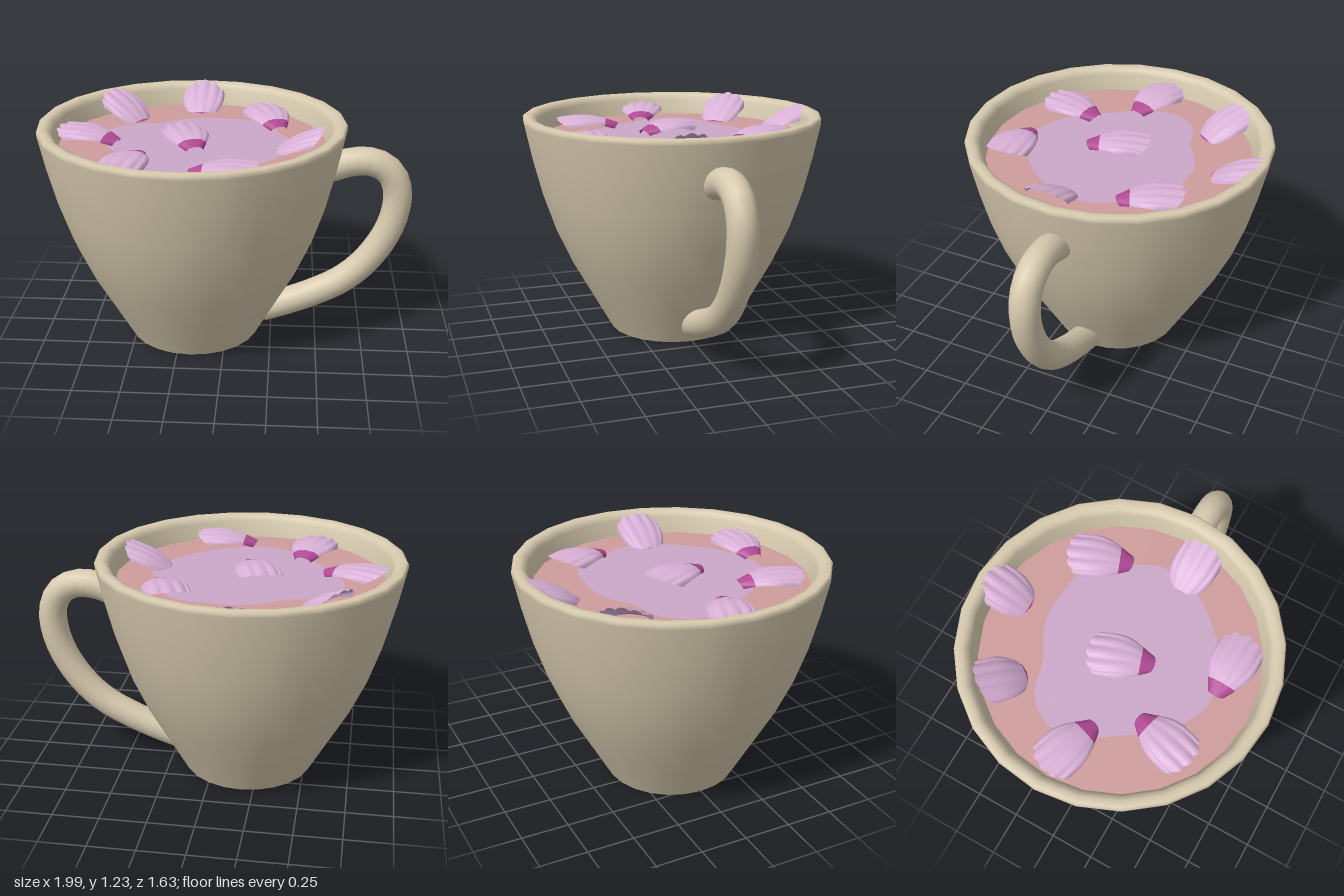
import * as THREE from 'three';

const CUP_X = -0.18;
const LIQUID_Y = 1.09;

const material = (name, color, side = THREE.FrontSide) => {
  const m = new THREE.MeshStandardMaterial({ color, side });
  m.name = name;
  return m;
};

const add = (parent, name, geometry, mat) => {
  const mesh = new THREE.Mesh(geometry, mat);
  mesh.name = name;
  parent.add(mesh);
  return mesh;
};

// Fan-shaped petal: tip at the origin, wide scalloped end towards +z
function petalGeometry() {
  const cols = 30, rows = 14, tipRows = 3, lobes = 5;
  const positions = [], index = [];
  for (let j = 0; j <= rows; j++) {
    const v = j / rows;
    const half = 0.045 + 0.075 * Math.sin(Math.min(v / 0.8, 1) * Math.PI / 2);
    for (let i = 0; i <= cols; i++) {
      const u = (i / cols) * 2 - 1;
      const ridge = Math.abs(Math.cos((u * lobes * Math.PI) / 2 + 0)) ;
      const length = 0.335 - 0.075 * u * u + 0.014 * ridge * v;
      const start = 0.02 * u * u;
      const x = half * Math.sin((u * Math.PI) / 2 * 0.9) / Math.sin(Math.PI * 0.45);
      const y = 0.03 * (1 - u * u) + 0.025 * Math.sin(Math.PI * v) + 0.009 * ridge * v;
      positions.push(x, y, start + (length - start) * v);
    }
  }
  for (let j = 0; j < rows; j++) {
    for (let i = 0; i < cols; i++) {
      const a = j * (cols + 1) + i, b = a + cols + 1;
      index.push(a, b, a + 1, b, b + 1, a + 1);
    }
  }
  const g = new THREE.BufferGeometry();
  g.setAttribute('position', new THREE.Float32BufferAttribute(positions, 3));
  g.setIndex(index);
  g.addGroup(0, tipRows * cols * 6, 0);
  g.addGroup(tipRows * cols * 6, (rows - tipRows) * cols * 6, 1);
  g.computeVertexNormals();
  return g;
}

export function createModel() {
  const model = new THREE.Group();
  model.name = 'teacup';

  const ceramic = material('ceramic', 0xd6c9ae);
  const tea = material('pinkTea', 0xcf9c9c);
  const swirl = material('lilacSwirl', 0xcaa8c8);
  const petalMat = material('petalLilac', 0xd8b0d6, THREE.DoubleSide);
  const tipMat = material('petalTip', 0xb04a94, THREE.DoubleSide);

  // Cup wall: up the outside, over the rounded rim, down the inside
  const profile = [
    [0.355, 0], [0.465, 0.2], [0.575, 0.4], [0.664, 0.6], [0.73, 0.8], [0.78, 1.0],
    [0.817, 1.18], [0.817, 1.2], [0.806, 1.21], [0.775, 1.21], [0.752, 1.2], [0.738, 1.175],
    [0.712, 1.08], [0.66, 0.85], [0.56, 0.5], [0.3, 0.06], [0, 0.06],
  ].map(([r, y]) => new THREE.Vector2(r, y));
  add(model, 'cupWall', new THREE.LatheGeometry(profile, 24), ceramic).position.x = CUP_X;

  const base = add(model, 'cupBase', new THREE.CircleGeometry(0.355, 24), ceramic);
  base.rotation.x = Math.PI / 2;
  base.position.x = CUP_X;

  // Handle
  const path = new THREE.CatmullRomCurve3([
    [0.54, 0.96], [0.68, 1.003], [0.79, 0.999], [0.87, 0.95], [0.908, 0.88], [0.92, 0.8],
    [0.9, 0.67], [0.845, 0.54], [0.745, 0.4], [0.63, 0.3], [0.49, 0.225], [0.34, 0.163], [0.2, 0.115],
  ].map(([x, y]) => new THREE.Vector3(x, y, 0)));
  add(model, 'handle', new THREE.TubeGeometry(path, 28, 0.077, 16), ceramic);

  // Tea surface
  const surface = add(model, 'teaSurface', new THREE.CircleGeometry(0.715, 24), tea);
  surface.rotation.x = -Math.PI / 2;
  surface.position.set(CUP_X, LIQUID_Y, 0);

  // Irregular lilac patch, outlined as x, z
  const outline = [
    [-0.16, -0.43], [0.08, -0.41], [0.2, -0.35], [0.27, -0.2], [0.33, -0.08], [0.34, 0.03],
    [0.3, 0.17], [0.2, 0.31], [0.06, 0.43], [-0.06, 0.48], [-0.19, 0.51], [-0.31, 0.47],
    [-0.43, 0.38], [-0.55, 0.21], [-0.64, 0.07], [-0.68, -0.09], [-0.64, -0.2], [-0.55, -0.28],
    [-0.4, -0.32], [-0.28, -0.39],
  ].map(([x, z]) => new THREE.Vector2(x, -z));
  const blob = new THREE.Shape();
  blob.setFromPoints(new THREE.SplineCurve([...outline, outline[0]]).getPoints(80));
  const patch = add(model, 'lilacPatch', new THREE.ShapeGeometry(blob), swirl);
  patch.rotation.x = -Math.PI / 2;
  patch.position.y = LIQUID_Y + 0.004;

  // Petals: tip x, z, then wide end x, z, height of the tip, upward tilt
  const petals = [
    [-0.18, -0.49, -0.175, -0.78, -0.07, 0.5],
    [-0.47, -0.34, -0.72, -0.545, -0.07, 0.54],
    [-0.565, 0.075, -0.89, -0.03, 0.008, 0.1],
    [-0.15, 0.18, -0.265, -0.15, 0.008, 0.06],
    [-0.43, 0.245, -0.515, 0.57, 0.008, 0.06],
    [-0.155, 0.515, 0.18, 0.525, 0.008, 0.08],
    [0.28, -0.185, 0.15, -0.51, 0.008, 0.1],
    [0.225, 0.095, 0.515, 0.115, -0.07, 0.5],
  ];
  const petalShape = petalGeometry();
  for (const [x, z, wx, wz, lift, tilt] of petals) {
    const petal = add(model, 'petal', petalShape, [tipMat, petalMat]);
    petal.position.set(x, LIQUID_Y + lift, z);
    petal.rotation.set(-tilt, Math.atan2(wx - x, wz - z), 0, 'YXZ');
  }

  return model;
}
